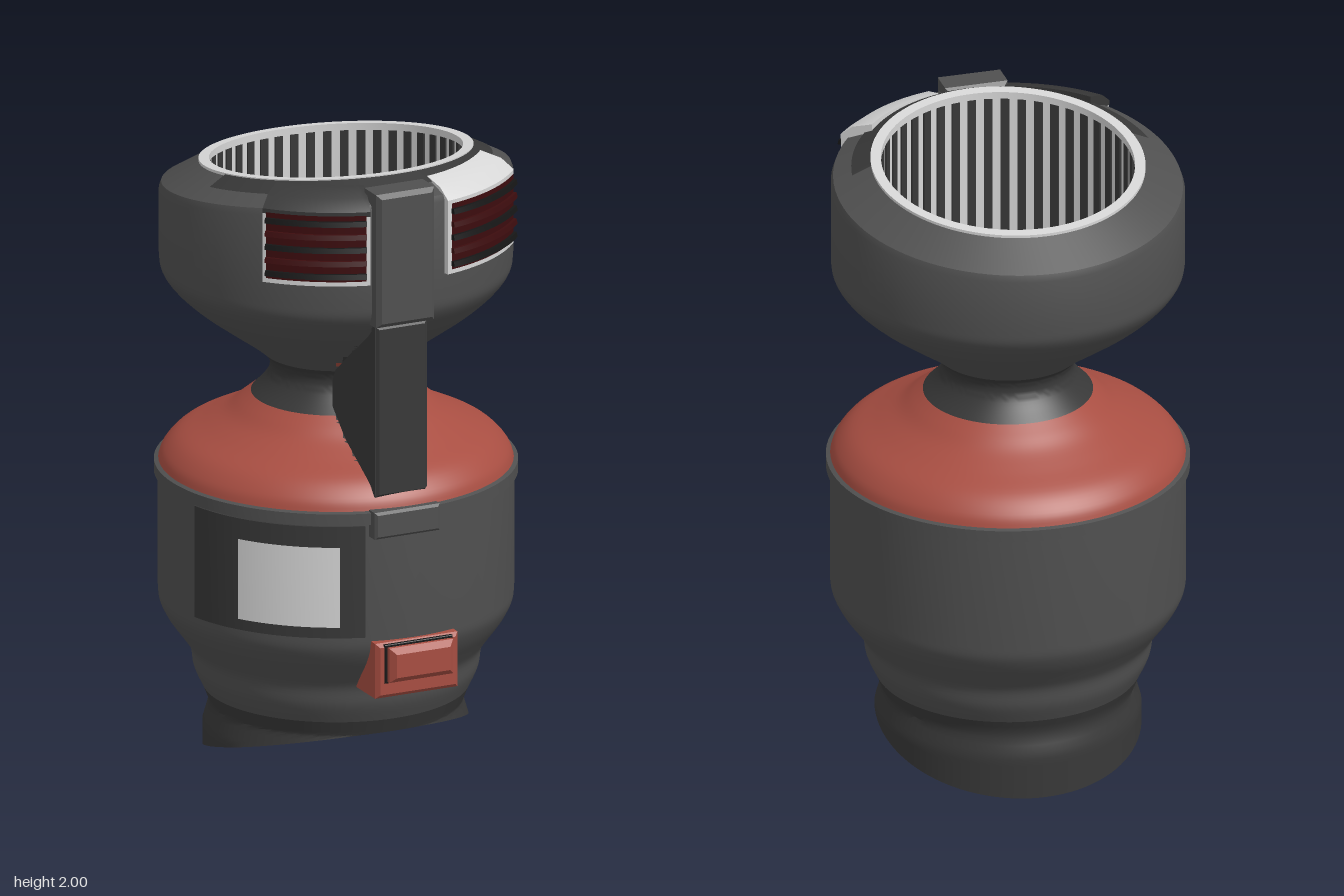
import * as THREE from 'three';
import { mergeGeometries, toCreasedNormals } from 'three/addons/utils/BufferGeometryUtils.js';

const paint = (name, color) => {
  const m = new THREE.MeshStandardMaterial({ color, side: THREE.DoubleSide });
  m.name = name;
  return m;
};
const deg = THREE.MathUtils.degToRad;
const pts = (list) => list.map(([x, y]) => new THREE.Vector2(x, y));
const smooth = (list, n) => new THREE.SplineCurve(pts(list)).getPoints(n);

// Move every vertex with a rule
function deform(geo, rule) {
  const p = geo.attributes.position, v = new THREE.Vector3();
  for (let i = 0; i < p.count; i++) {
    v.fromBufferAttribute(p, i);
    rule(v);
    p.setXYZ(i, v.x, v.y, v.z);
  }
  return geo;
}

// The top of the head leans down towards the back
const lean = (v) => { if (v.y > 1.75) v.y += 0.125 * v.z; };

// Turned shell, angles in degrees measured from the front towards +x
function turned(profile, from = 0, to = 360, segments = 96) {
  return new THREE.LatheGeometry(profile, segments, deg(from), deg(to - from));
}

// Closed section swept along an arc, with both ends capped
function arcBlock(section, from, to) {
  const loop = pts([...section, section[0]]);
  const parts = [turned(loop, from, to, 16).toNonIndexed()];
  for (const a of [from, to]) {
    parts.push(new THREE.ShapeGeometry(new THREE.Shape(pts(section))).rotateY(deg(a) - Math.PI / 2).toNonIndexed());
  }
  return mergeGeometries(parts);
}

// Open the shell behind the hollow handle
function cutDuct(geo) {
  const src = geo.toNonIndexed().attributes.position, kept = [];
  for (let i = 0; i < src.count; i += 3) {
    const mean = (get) => (get(i) + get(i + 1) + get(i + 2)) / 3;
    const x = mean((k) => src.getX(k)), y = mean((k) => src.getY(k)), z = mean((k) => src.getZ(k));
    if (x > -0.115 && x < 0.05 && z > 0.23 && z < 0.4 && y > 1.05 && y < 1.47) continue;
    for (let k = i; k < i + 3; k++) kept.push(src.getX(k), src.getY(k), src.getZ(k));
  }
  return new THREE.BufferGeometry().setAttribute('position', new THREE.Float32BufferAttribute(kept, 3));
}

// Box with chamfered front edges, from its extents
function block(x0, x1, y0, y1, z0, z1, bevel = 0.012) {
  const b = bevel;
  const s = new THREE.Shape(pts([[x0 + b, y0 + b], [x1 - b, y0 + b], [x1 - b, y1 - b], [x0 + b, y1 - b]]));
  return new THREE.ExtrudeGeometry(s, {
    depth: z1 - z0 - 2 * b, bevelEnabled: true, bevelThickness: b, bevelSize: b, bevelSegments: 1,
  }).translate(0, 0, z0 + b);
}

export function createModel() {
  const model = new THREE.Group();
  const turnedParts = new THREE.Group();
  turnedParts.name = 'turnedParts';
  turnedParts.position.z = -0.022;
  model.add(turnedParts);

  const grey = paint('bodyGrey', 0x505050);
  const dark = paint('darkGrey', 0x383838);
  const red = paint('rustRed', 0xa84e42);
  const light = paint('lightGrey', 0xd6d6d6);
  const maroon = paint('maroon', 0x3c0c0e);
  const black = paint('black', 0x161616);

  const add = (parent, name, geo, mat, crease = 0.6) => {
    const mesh = new THREE.Mesh(toCreasedNormals(geo, crease), mat);
    mesh.name = name;
    parent.add(mesh);
    return mesh;
  };

  // Slanted skirt at the base
  const skirtRadius = (y) => (y > 0.21 ? 0.385 + (y - 0.21) * 0.4 : 0.385 + 0.02 * Math.min(1, (0.21 - y) / 0.07));
  const skirt = new THREE.CylinderGeometry(1, 1, 1, 96, 12, true);
  deform(skirt, (v) => {
    const t = 0.5 - v.y;
    const cut = Math.max(0, 0.266 * (v.z * 0.4 + 0.403));
    v.y = 0.26 + t * (cut - 0.26);
    const r = skirtRadius(v.y);
    v.x *= r;
    v.z *= r;
  });
  add(turnedParts, 'skirt', skirt, dark);

  // Main body
  const lower = smooth([[0.405, 0.26], [0.432, 0.32], [0.442, 0.38], [0.47, 0.425], [0.51, 0.48], [0.535, 0.53], [0.54, 0.57]], 24);
  add(turnedParts, 'body', turned([...lower, new THREE.Vector2(0.54, 0.94)]), grey);

  // Band, sloping shoulder and neck
  add(turnedParts, 'band', turned(pts([[0.535, 0.935], [0.552, 0.935], [0.552, 0.972], [0.535, 0.977]])), grey);
  const cone = smooth([[0.54, 0.972], [0.525, 1.01], [0.48, 1.055], [0.4, 1.095], [0.335, 1.13], [0.29, 1.165], [0.258, 1.19]], 28);
  add(turnedParts, 'shoulder', cutDuct(turned(cone)), red);
  const neck = smooth([[0.258, 1.19], [0.225, 1.225], [0.203, 1.26], [0.203, 1.295], [0.222, 1.32]], 14);
  add(turnedParts, 'neck', cutDuct(turned(neck)), dark);

  // Head with leaning top
  const bowl = smooth([[0.222, 1.32], [0.265, 1.355], [0.345, 1.412], [0.43, 1.475], [0.495, 1.535], [0.53, 1.585], [0.537, 1.63]], 30);
  const head = turned([...bowl, ...pts([[0.537, 1.865], [0.53, 1.885], [0.41, 1.947]])]);
  add(turnedParts, 'head', cutDuct(deform(head, lean)), grey);
  const panel = turned(pts([[0.475, 1.918], [0.412, 1.951]]), -80, 80, 48);
  add(turnedParts, 'headTopPanel', deform(panel, lean), dark);

  // Mouth ring, lining and ribs
  const ring = turned(pts([[0.385, 1.93], [0.417, 1.93], [0.417, 1.952], [0.385, 1.952], [0.385, 1.93]]));
  add(turnedParts, 'mouthRing', deform(ring, lean), light);
  const lining = turned(pts([[0.395, 1.46], [0.395, 1.94]]));
  add(turnedParts, 'mouthLining', deform(lining, lean), light);
  const ribs = [];
  for (let i = 0; i < 48; i++) {
    const rib = new THREE.BoxGeometry(0.026, 0.48, 0.006).translate(0, 1.695, 0.391);
    ribs.push(deform(rib.rotateY((i / 48) * Math.PI * 2), lean));
  }
  add(turnedParts, 'mouthRibs', mergeGeometries(ribs), dark);

  // Two louvred lamps on the front of the head
  for (const [side, from, to, capMat] of [['left', 11.5, 50, light], ['right', -50, -15.5, dark]]) {
    const lamp = new THREE.Group();
    lamp.name = side + 'Lamp';
    turnedParts.add(lamp);
    add(lamp, 'lampFrame', arcBlock([[0.48, 1.7], [0.553, 1.7], [0.553, 1.93], [0.48, 1.93]], from, to), light);
    add(lamp, 'lampCap', arcBlock([[0.45, 1.92], [0.554, 1.92], [0.554, 1.935], [0.515, 1.968], [0.45, 1.988]], from, to), capMat);
    add(lamp, 'lampFace', turned(pts([[0.557, 1.715], [0.557, 1.925]]), from + 1.3, to - 1.3, 16), maroon);
    for (let i = 0; i < 5; i++) {
      const y = 1.725 + i * 0.042;
      add(lamp, 'louvre', arcBlock([[0.555, y], [0.57, y], [0.566, y + 0.016], [0.555, y + 0.016]], from + 1.3, to - 1.3), i % 2 ? maroon : black);
    }
  }

  // Curved label on the body
  add(turnedParts, 'labelFrame', arcBlock([[0.53, 0.575], [0.547, 0.575], [0.547, 0.93], [0.53, 0.93]], -78, -17), dark);
  add(turnedParts, 'labelPlate', turned(pts([[0.55, 0.61], [0.55, 0.865]]), -59, -25, 16), light);

  // Hollow handle: two cheeks and a front wall
  const handle = new THREE.Group();
  handle.name = 'handle';
  model.add(handle);
  const cheek = new THREE.Shape(pts([
    [0.49, 1.02], [0.49, 1.56], [0.44, 1.51], [0.32, 1.42], [0.22, 1.34], [0.2, 1.3], [0.2, 1.22], [0.29, 1.14], [0.38, 1.09], [0.45, 1.05],
  ]));
  for (const x of [-0.108, 0.055]) {
    const geo = new THREE.ExtrudeGeometry(cheek, { depth: 0.014, bevelEnabled: false }).rotateY(-Math.PI / 2);
    add(handle, 'handleCheek', geo.translate(x, 0, 0), dark);
  }
  add(handle, 'handleFront', block(-0.122, 0.055, 1.01, 1.56, 0.455, 0.498), dark);
  add(handle, 'handleTop', block(-0.135, 0.062, 1.565, 1.99, 0.43, 0.537, 0.014), grey);

  // Small latch on the band
  add(model, 'latch', block(-0.145, 0.075, 0.895, 0.98, 0.49, 0.542, 0.008), grey);

  // Red clip with raised button
  add(model, 'clip', block(-0.14, 0.138, 0.385, 0.56, 0.37, 0.54), red);
  add(model, 'clipButton', block(-0.108, 0.108, 0.44, 0.55, 0.53, 0.578, 0.018), red);
  add(model, 'clipGroove', block(-0.115, 0.115, 0.433, 0.556, 0.5, 0.543, 0.002), black);

  return model;
}
